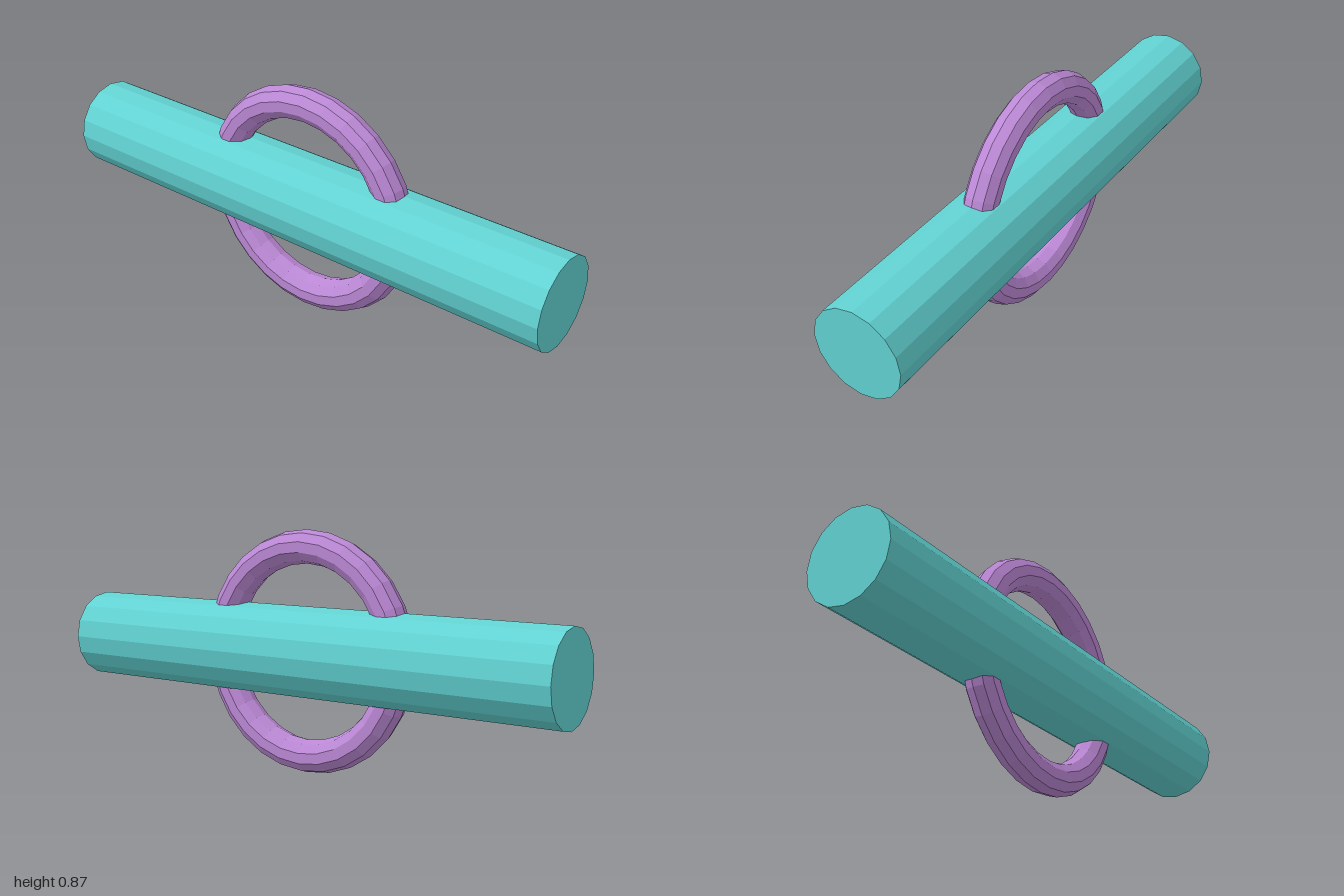
import * as THREE from 'three';

const AXIS_Y = 0.437; // shared centre height of bar and ring

export function createModel() {
  const model = new THREE.Group();
  model.name = 'barThroughRing';

  const teal = new THREE.MeshStandardMaterial({ color: 0x62d2d2, flatShading: true });
  teal.name = 'teal';
  const violet = new THREE.MeshStandardMaterial({ color: 0xbb88d5, flatShading: true });
  violet.name = 'violet';

  // Long 16-sided bar lying along x
  const bar = new THREE.Mesh(new THREE.CylinderGeometry(0.164, 0.164, 2, 16), teal);
  bar.name = 'bar';
  bar.rotation.z = Math.PI / 2;
  bar.position.y = AXIS_Y;

  // Upright ring facing z, passing through the bar
  const ring = new THREE.Mesh(new THREE.TorusGeometry(0.375, 0.06, 10, 28), violet);
  ring.name = 'ring';
  ring.position.y = AXIS_Y;

  model.add(bar, ring);
  return model;
}
